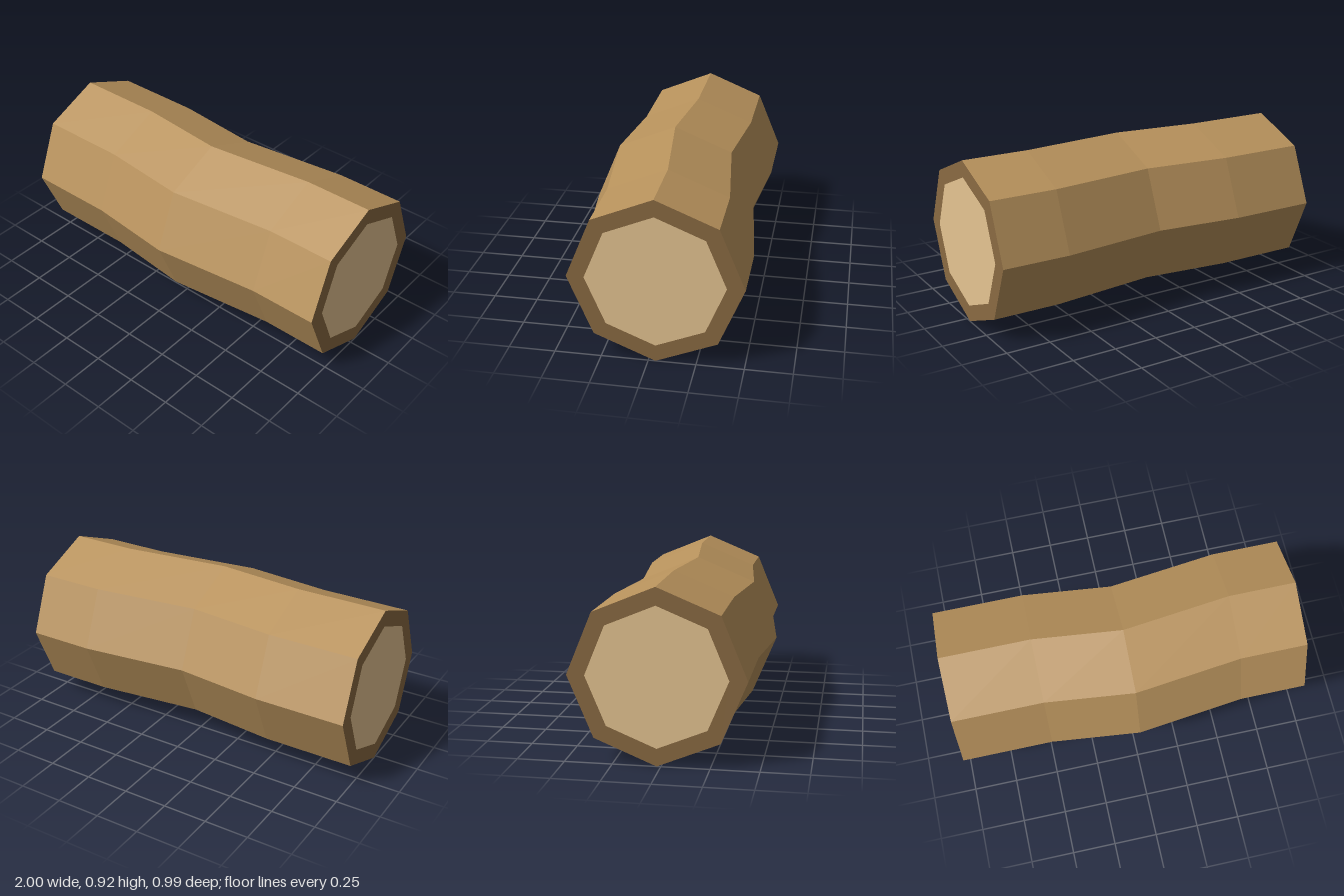
import * as THREE from 'three';

const SIDES = 8;
const RADIUS = 0.458;
const CORE_RADIUS = 0.365;
// Spine of the log: [x, z offset]
const SPINE = [[-1, -0.021], [-0.49, -0.021], [0.01, 0.033], [0.62, -0.038], [1, -0.038]];

const flat = (name, color) => {
  const material = new THREE.MeshStandardMaterial({ color });
  material.name = name;
  return material;
};

// Eight-sided tube whose rings follow the spine
function barkGeometry() {
  const positions = [];
  const corner = (s, i) => {
    const a = (i / SIDES) * Math.PI * 2;
    return [SPINE[s][0], RADIUS + RADIUS * Math.sin(a), SPINE[s][1] + RADIUS * Math.cos(a)];
  };
  for (let s = 0; s < SPINE.length - 1; s++) {
    for (let i = 0; i < SIDES; i++) {
      const a = corner(s, i), b = corner(s + 1, i);
      const c = corner(s + 1, i + 1), d = corner(s, i + 1);
      positions.push(...a, ...b, ...c, ...a, ...c, ...d);
    }
  }
  const geometry = new THREE.BufferGeometry();
  geometry.setAttribute('position', new THREE.Float32BufferAttribute(positions, 3));
  geometry.computeVertexNormals();
  return geometry;
}

export function createModel() {
  const log = new THREE.Group();
  log.name = 'log';

  const bark = flat('bark brown', 0xb8925c);
  const rimWood = flat('dark rim brown', 0x8a6a42);
  const coreWood = flat('pale cut wood', 0xe6c592);

  const trunk = new THREE.Mesh(barkGeometry(), bark);
  trunk.name = 'barkTrunk';
  log.add(trunk);

  // Cut ends: a dark rim around a pale core
  const rimGeometry = new THREE.RingGeometry(CORE_RADIUS, RADIUS, SIDES, 1);
  const coreGeometry = new THREE.CircleGeometry(CORE_RADIUS, SIDES);
  for (const [side, label] of [[1, 'left'], [-1, 'right']]) {
    const [x, z] = side > 0 ? SPINE[SPINE.length - 1] : SPINE[0];
    const end = new THREE.Group();
    end.name = `${label}CutEnd`;
    const rim = new THREE.Mesh(rimGeometry, rimWood);
    rim.name = `${label}Rim`;
    const core = new THREE.Mesh(coreGeometry, coreWood);
    core.name = `${label}Core`;
    end.add(rim, core);
    end.position.set(x, RADIUS, z);
    end.rotation.y = side * Math.PI / 2;
    log.add(end);
  }
  return log;
}
